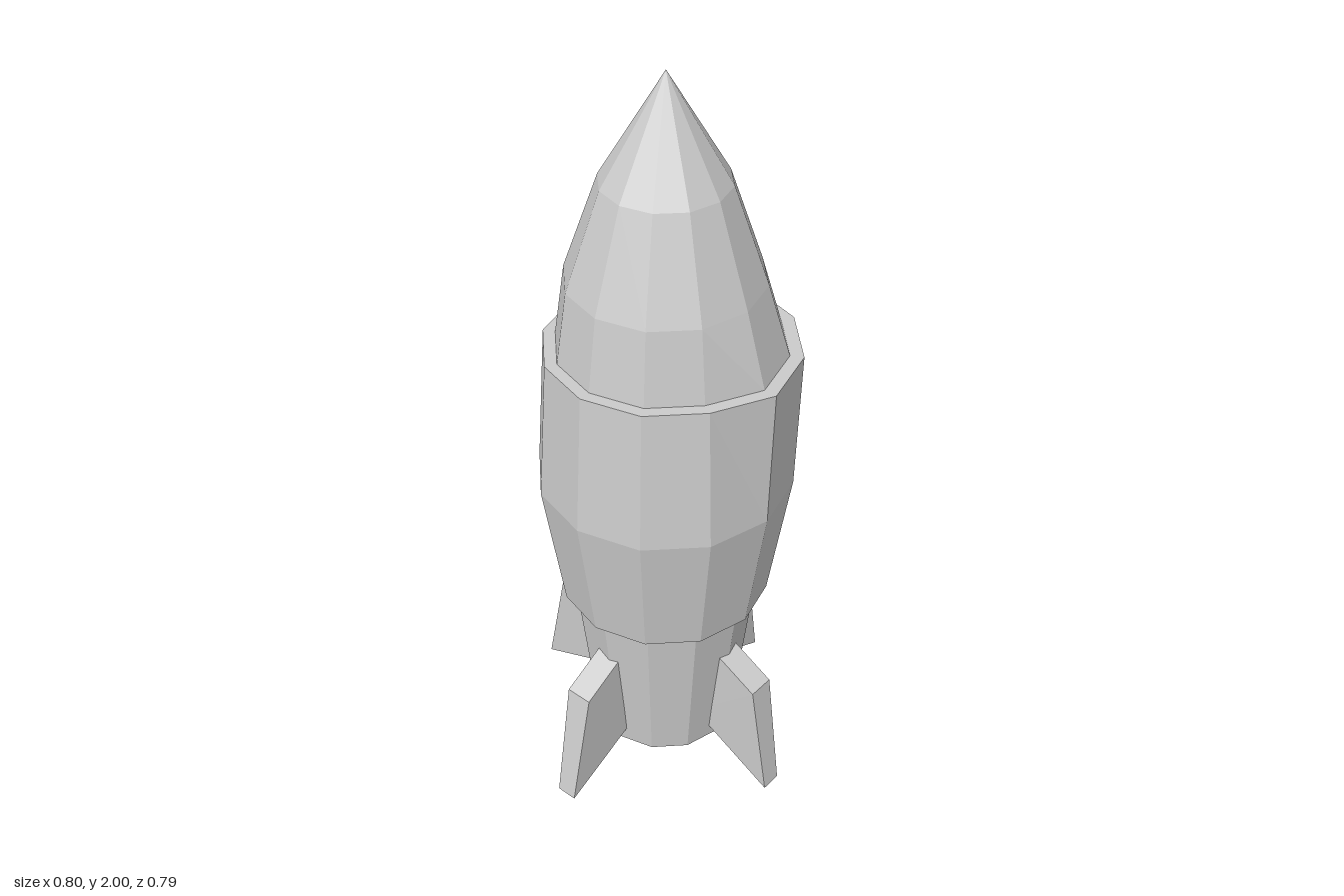
import * as THREE from 'three';

const material = new THREE.MeshStandardMaterial({ color: 0xcccccc, flatShading: true });
const SIDES = 12;
const AXIS_X = 0.014; // the hull sits slightly off centre
const RIM_Y = 1.295;

// Twelve-sided hull section; part of the rim bulges outward behind and to the left
function hullSection(name, profile) {
  const geometry = new THREE.LatheGeometry(profile.map(([r, y]) => new THREE.Vector2(r, y)), SIDES);
  const pos = geometry.attributes.position;
  for (let i = 0; i < pos.count; i++) {
    const x = pos.getX(i), y = pos.getY(i), z = pos.getZ(i);
    const side = (Math.round(Math.atan2(x, z) / (Math.PI * 2 / SIDES)) + SIDES) % SIDES;
    const bulge = Math.abs(y - RIM_Y) < 1e-4 && side >= 3 && side <= 8 ? 1.11 : 1;
    pos.setXYZ(i, x * bulge, y, z * bulge);
  }
  geometry.computeVertexNormals();
  const mesh = new THREE.Mesh(geometry, material);
  mesh.name = name;
  mesh.position.x = AXIS_X;
  return mesh;
}

// Swept fin in the radius/height plane, thinner towards its tip
function fin(name, profile, angle, offset) {
  const shape = new THREE.Shape(profile.map(([r, y]) => new THREE.Vector2(r, y)));
  const geometry = new THREE.ExtrudeGeometry(shape, { depth: 2, bevelEnabled: false });
  geometry.translate(0, 0, -1);
  const pos = geometry.attributes.position;
  for (let i = 0; i < pos.count; i++) {
    const t = THREE.MathUtils.smoothstep(pos.getX(i), 0.34, 0.395);
    pos.setZ(i, pos.getZ(i) * THREE.MathUtils.lerp(0.036, 0.028, t));
  }
  geometry.computeVertexNormals();
  const mesh = new THREE.Mesh(geometry, material);
  mesh.name = name;
  mesh.rotation.y = angle;
  mesh.position.set(offset[0], 0, offset[1]);
  return mesh;
}

export function createModel() {
  const group = new THREE.Group();
  group.name = 'rocket';

  // Hull, from the closed tail up to the pointed nose
  group.add(
    hullSection('tailBody', [[0, 0.08], [0.19, 0.08], [0.243, 0.553]]),
    hullSection('sleeve', [[0.243, 0.553], [0.273, 0.553], [0.327, 0.915], [0.302, RIM_Y], [0.271, RIM_Y]]),
    hullSection('noseCone', [[0.271, RIM_Y], [0.244, 1.485], [0.157, 1.735], [0, 2]])
  );

  // Four fins, roots buried in the tail: tip, shoulder, root top, root bottom
  const quarter = Math.PI / 2;
  group.add(
    fin('leftFin', [[0.15, 0.15], [0.395, 0.003], [0.345, 0.34], [0.16, 0.44]], 0, [0, -0.005]),
    fin('backFin', [[0.15, 0.145], [0.395, 0.018], [0.338, 0.345], [0.16, 0.435]], quarter, [0.007, 0]),
    fin('rightFin', [[0.15, 0.14], [0.4, 0.03], [0.327, 0.358], [0.16, 0.438]], 2 * quarter, [0, 0.004]),
    fin('frontFin', [[0.15, 0.145], [0.398, 0.016], [0.335, 0.345], [0.16, 0.435]], -quarter, [0.004, 0])
  );
  return group;
}
